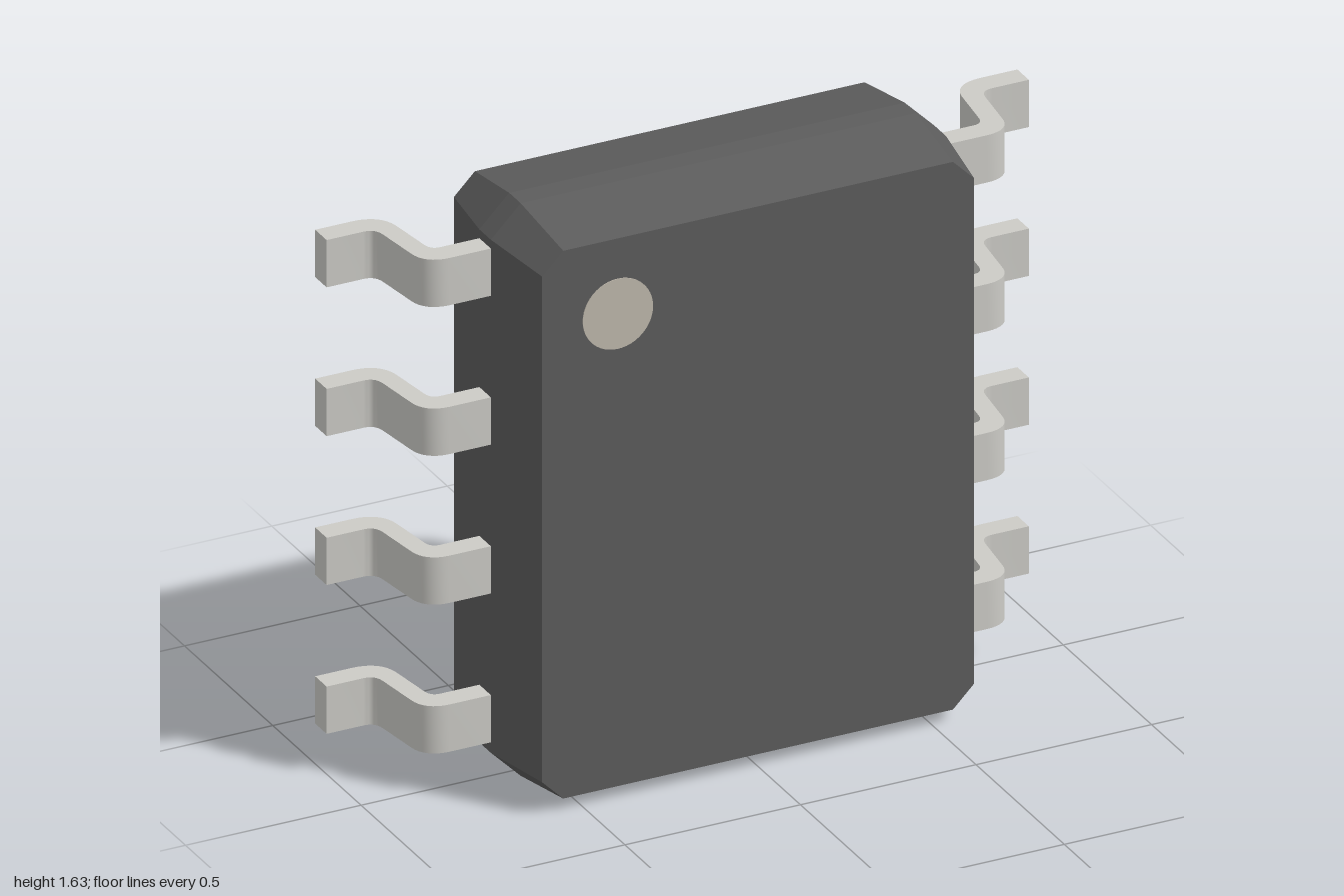
import * as THREE from 'three';
import { toCreasedNormals } from 'three/addons/utils/BufferGeometryUtils.js';

const MID_Y = 0.8175;

const bodyMaterial = new THREE.MeshStandardMaterial({ color: 0x5c5c5c });
const metalMaterial = new THREE.MeshStandardMaterial({ color: 0xcccbc6 });
const dotMaterial = new THREE.MeshStandardMaterial({ color: 0xbfb8ac });

// Rectangle with chamfered corners, counter-clockwise
function octagon(w, h, c, z) {
  return [
    [w, -h + c], [w, h - c], [w - c, h], [-w + c, h],
    [-w, h - c], [-w, -h + c], [-w + c, -h], [w - c, -h],
  ].map(([x, y]) => [x, y + MID_Y, z]);
}

// Faceted case: loops from back to front, widest at the parting line
function bodyGeometry() {
  const loops = [
    octagon(0.615, 0.782, 0.06, -0.24),
    octagon(0.648, 0.8175, 0.085, -0.03),
    octagon(0.648, 0.8175, 0.085, 0.035),
    octagon(0.615, 0.782, 0.06, 0.26),
  ];
  const pos = [];
  const tri = (a, b, c) => pos.push(...a, ...b, ...c);
  for (let k = 0; k < 3; k++) {
    const lo = loops[k], hi = loops[k + 1];
    for (let i = 0; i < 8; i++) {
      const j = (i + 1) % 8;
      tri(lo[i], lo[j], hi[j]);
      tri(lo[i], hi[j], hi[i]);
    }
  }
  for (let i = 1; i < 7; i++) {
    tri(loops[3][0], loops[3][i], loops[3][i + 1]);
    tri(loops[0][0], loops[0][i + 1], loops[0][i]);
  }
  const g = new THREE.BufferGeometry();
  g.setAttribute('position', new THREE.Float32BufferAttribute(pos, 3));
  g.computeVertexNormals();
  return g;
}

// Gull-wing lead: bent strip drawn in plan (shape y = -z), extruded upwards
function leadGeometry(s) {
  const p = new THREE.Shape();
  p.moveTo(s * 0.6, -0.035);
  p.lineTo(s * 0.765, -0.035);
  p.bezierCurveTo(s * 0.81, -0.035, s * 0.838, -0.01, s * 0.842, 0.03);
  p.lineTo(s * 0.858, 0.16);
  p.quadraticCurveTo(s * 0.863, 0.195, s * 0.895, 0.195);
  p.lineTo(s * 1, 0.195);
  p.lineTo(s * 1, 0.26);
  p.lineTo(s * 0.895, 0.26);
  p.bezierCurveTo(s * 0.845, 0.26, s * 0.813, 0.235, s * 0.806, 0.19);
  p.lineTo(s * 0.79, 0.06);
  p.quadraticCurveTo(s * 0.786, 0.03, s * 0.76, 0.03);
  p.lineTo(s * 0.6, 0.03);
  p.closePath();
  const g = new THREE.ExtrudeGeometry(p, { depth: 0.135, bevelEnabled: false, curveSegments: 8 });
  g.rotateX(-Math.PI / 2);
  return toCreasedNormals(g, 0.6);
}

export function createModel() {
  const model = new THREE.Group();
  model.name = 'chipPackage';
  const add = (name, geometry, material, x = 0, y = 0, z = 0) => {
    const mesh = new THREE.Mesh(geometry, material);
    mesh.name = name;
    mesh.position.set(x, y, z);
    model.add(mesh);
  };

  add('body', bodyGeometry(), bodyMaterial);

  // Thermal pad on the back
  add('thermalPad', new THREE.BoxGeometry(0.8, 1.265, 0.04), metalMaterial, 0, MID_Y, -0.24);

  // Round marker at the first lead
  const dot = new THREE.CylinderGeometry(0.1, 0.1, 0.01, 48).rotateX(Math.PI / 2);
  add('cornerMarker', dot, dotMaterial, -0.4, 1.385, 0.257);

  // Four leads on each side
  for (const [side, s] of [['left', 1], ['right', -1]]) {
    const lead = leadGeometry(s);
    for (let i = 0; i < 4; i++) {
      add(`${side}Lead${i + 1}`, lead, metalMaterial, 0, 0.115 + i * 0.425, 0);
    }
  }
  return model;
}
